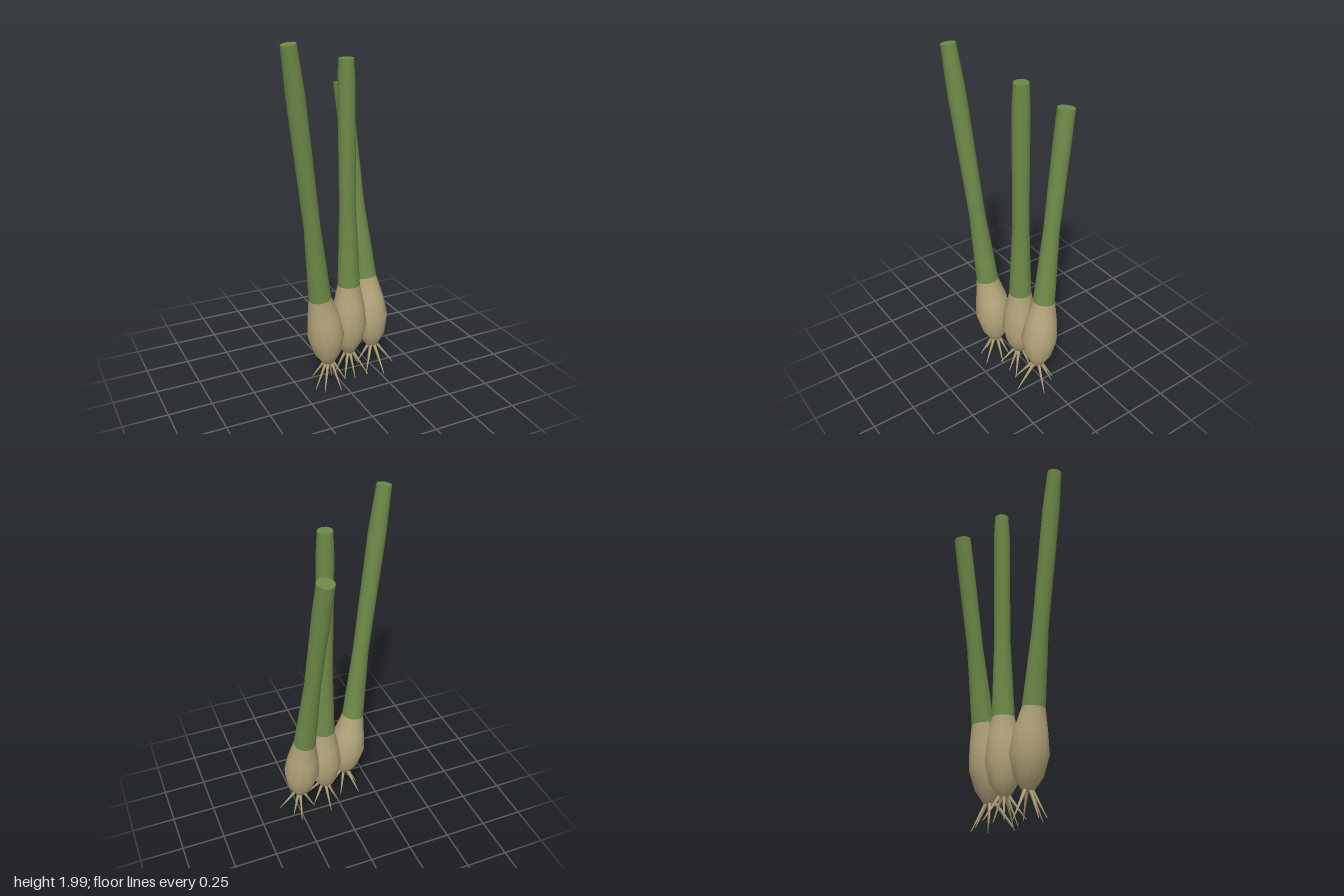
import * as THREE from 'three';

const SIDES = 12;
const UP = new THREE.Vector3(0, 1, 0);

// Stalk cross-sections: [x, y, z, radius] from the root plate to the cut top;
// the bulb colour ends at ring 4. Roots: tips as [x, y, z].
const onions = [
  {
    name: 'leftOnion',
    rings: [[-0.08, 0.165, 0.115, 0.032], [-0.088, 0.235, 0.115, 0.078], [-0.1, 0.35, 0.116, 0.106], [-0.115, 0.47, 0.12, 0.091],
      [-0.14, 0.59, 0.127, 0.064], [-0.194, 1.03, 0.15, 0.046], [-0.293, 1.74, 0.187, 0.05], [-0.33, 1.993, 0.2, 0.041]],
    roots: [[-0.17, 0.01, 0.13], [-0.14, 0.02, 0.19], [-0.045, 0.02, 0.212], [0.02, 0.03, 0.13], [-0.03, 0.02, 0.05], [-0.142, 0.03, 0.02]],
  },
  {
    name: 'middleOnion',
    rings: [[0.08, 0.16, 0.05, 0.032], [0.08, 0.235, 0.05, 0.078], [0.08, 0.35, 0.05, 0.103], [0.08, 0.47, 0.048, 0.09],
      [0.08, 0.595, 0.046, 0.064], [0.073, 1.05, 0.038, 0.047], [0.064, 1.75, 0.032, 0.048], [0.063, 1.88, 0.03, 0.041]],
    roots: [[0.01, 0.04, 0.143], [0.085, 0.02, 0.13], [0.165, 0.03, 0.138], [0.16, 0.04, 0.02], [0.08, 0.03, -0.068], [0.01, 0.03, 0.02]],
  },
  {
    name: 'rightOnion',
    rings: [[0.245, 0.16, 0.037, 0.032], [0.242, 0.235, 0.031, 0.078], [0.234, 0.35, 0.02, 0.106], [0.228, 0.47, 0.002, 0.091],
      [0.222, 0.595, -0.018, 0.064], [0.19, 1.04, -0.083, 0.046], [0.16, 1.52, -0.158, 0.05], [0.147, 1.718, -0.19, 0.049]],
    roots: [[0.368, 0.03, 0.075], [0.25, 0.03, 0.185], [0.155, 0.03, 0.135], [0.165, 0.04, 0.0], [0.27, 0.01, -0.06], [0.31, 0.04, -0.02]],
  },
];

// Rings set square to the bending centre line, closed at both ends
function stalkGeometry(rings) {
  const centres = rings.map(([x, y, z]) => new THREE.Vector3(x, y, z));
  const positions = [], index = [];
  const last = rings.length - 1;
  const addRing = (i) => {
    const along = centres[Math.min(i + 1, last)].clone().sub(centres[Math.max(i - 1, 0)]).normalize();
    const turn = new THREE.Quaternion().setFromUnitVectors(UP, along);
    for (let s = 0; s < SIDES; s++) {
      const a = (s / SIDES) * Math.PI * 2;
      const p = new THREE.Vector3(Math.sin(a), 0, Math.cos(a)).multiplyScalar(rings[i][3]);
      positions.push(...p.applyQuaternion(turn).add(centres[i]).toArray());
    }
  };
  rings.forEach((r, i) => addRing(i));

  // root plate
  const bottom = positions.length / 3;
  positions.push(centres[0].x, centres[0].y - 0.01, centres[0].z);
  for (let s = 0; s < SIDES; s++) index.push(bottom, (s + 1) % SIDES, s);

  // skin
  let bulbEnd = 0;
  for (let i = 0; i < last; i++) {
    for (let s = 0; s < SIDES; s++) {
      const a = i * SIDES + s, b = i * SIDES + (s + 1) % SIDES;
      index.push(a, b, b + SIDES, a, b + SIDES, a + SIDES);
    }
    if (i === 3) bulbEnd = index.length;
  }

  // flat cut top on its own vertices, for a crisp rim
  const rim = positions.length / 3;
  addRing(last);
  const top = positions.length / 3;
  positions.push(...centres[last].toArray());
  for (let s = 0; s < SIDES; s++) index.push(top, rim + s, rim + (s + 1) % SIDES);

  const geometry = new THREE.BufferGeometry();
  geometry.setAttribute('position', new THREE.Float32BufferAttribute(positions, 3));
  geometry.setIndex(index);
  geometry.addGroup(0, bulbEnd, 0);
  geometry.addGroup(bulbEnd, index.length - bulbEnd, 1);
  geometry.computeVertexNormals();
  return geometry;
}

// Thin tapering root from the plate to its tip
function makeRoot(from, to, material) {
  const dir = to.clone().sub(from);
  const root = new THREE.Mesh(new THREE.CylinderGeometry(0.002, 0.011, dir.length(), 5), material);
  root.position.copy(from).addScaledVector(dir, 0.5);
  root.quaternion.setFromUnitVectors(UP, dir.normalize());
  root.name = 'root';
  return root;
}

export function createModel() {
  const bulb = new THREE.MeshStandardMaterial({ color: 0xb5a67c });
  bulb.name = 'paleBulb';
  const green = new THREE.MeshStandardMaterial({ color: 0x6d8948 });
  green.name = 'leafGreen';

  const model = new THREE.Group();
  model.name = 'springOnions';
  for (const { name, rings, roots } of onions) {
    const onion = new THREE.Group();
    onion.name = name;
    const stalk = new THREE.Mesh(stalkGeometry(rings), [bulb, green]);
    stalk.name = 'bulbAndStalk';
    onion.add(stalk);

    const base = new THREE.Vector3(rings[0][0], rings[0][1] + 0.015, rings[0][2]);
    for (const tip of roots) {
      const to = new THREE.Vector3(...tip);
      const from = base.clone().lerp(new THREE.Vector3(to.x, base.y, to.z), 0.15);
      onion.add(makeRoot(from, to, bulb));
    }
    model.add(onion);
  }
  return model;
}
